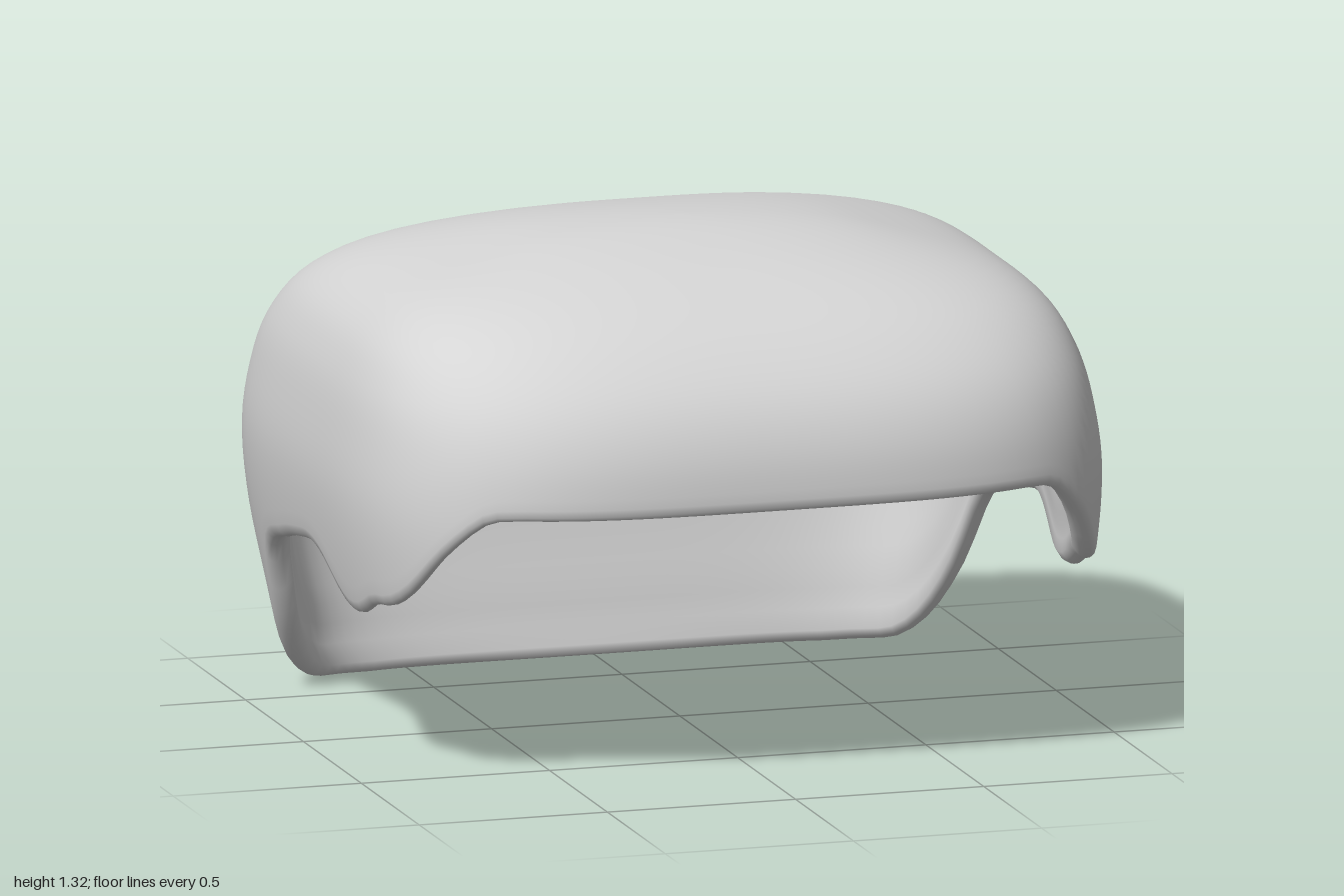
import * as THREE from 'three';

const { smoothstep } = THREE.MathUtils;
const TOP = 1.32, Z0 = 0.05, SEG = 180, RINGS = 40;

// Dome profile rows: height, half width, front z, back z
const PROFILE = [
  [1.32, 0, 0.05, 0.05], [1.30, 0.34, 0.25, -0.2], [1.26, 0.54, 0.42, -0.41],
  [1.19, 0.765, 0.60, -0.61], [1.11, 0.88, 0.73, -0.73], [1.0, 0.945, 0.84, -0.82],
  [0.87, 0.98, 0.90, -0.88], [0.7, 1.0, 0.92, -0.91], [0.5, 0.985, 0.92, -0.90],
  [0.25, 0.94, 0.92, -0.85], [0.08, 0.91, 0.90, -0.795], [0, 0.895, 0.90, -0.765],
];
// Lower edge: z, height
const RIM = [
  [-0.74, 0], [-0.65, 0.03], [-0.52, 0.22], [-0.43, 0.41], [-0.25, 0.48], [-0.1, 0.51],
  [0, 0.52], [0.1, 0.5], [0.27, 0.41], [0.36, 0.41], [0.45, 0.45], [0.54, 0.465],
  [0.63, 0.52], [0.75, 0.66], [0.8, 0.72], [0.84, 0.73],
];

// Smooth interpolation through rows of [key, value], clamped at the ends
function smooth(rows, k) {
  const n = rows.length - 1;
  if (k <= rows[0][0]) return rows[0][1];
  if (k >= rows[n][0]) return rows[n][1];
  let i = 0;
  while (rows[i + 1][0] < k) i++;
  const slope = (j) => {
    const a = rows[Math.max(0, j - 1)], b = rows[Math.min(n, j + 1)];
    return (b[1] - a[1]) / (b[0] - a[0]);
  };
  const [k0, v0] = rows[i], [k1, v1] = rows[i + 1], h = k1 - k0, t = (k - k0) / h;
  const t2 = t * t, t3 = t2 * t;
  return (2 * t3 - 3 * t2 + 1) * v0 + (t3 - 2 * t2 + t) * h * slope(i)
    + (3 * t2 - 2 * t3) * v1 + (t3 - t2) * h * slope(i + 1);
}

// Depth below the crown, spread out so the crown stays round
const depth = (y) => Math.sqrt(Math.max(0, TOP - y));
const column = (c) => PROFILE.map((row) => [depth(row[0]), row[c]]);
const WIDTH = column(1), FRONT = column(2), BACK = column(3);

// Plan radius: a rounded square, softer in front than behind
function radius(angle, y) {
  const q = depth(y), c = Math.abs(Math.cos(angle)), s = Math.sin(angle);
  if (q < 1e-4) return 1e-5;
  const x = smooth(WIDTH, q);
  const z = s > 0 ? smooth(FRONT, q) - Z0 : Z0 - smooth(BACK, q);
  const n = s > 0 ? 2.05 + 1.35 * smoothstep(q, 0.05, 0.45) : 2.2 + 3.2 * smoothstep(q, 0, 0.65);
  return Math.pow(Math.pow(c / x, n) + Math.pow(Math.abs(s) / z, n), -1 / n);
}

// Height at which the dome meets the lower edge
function rimHeight(angle) {
  let lo = -0.02, hi = 1;
  for (let i = 0; i < 30; i++) {
    const y = (lo + hi) / 2;
    const z = Z0 + radius(angle, y) * Math.sin(angle);
    if (y > smooth(RIM, z)) hi = y; else lo = y;
  }
  return Math.max(0, (lo + hi) / 2);
}

// Section from crown down the outside, round the lip and up the inside: [radius, y]
function section(angle) {
  const rim = rimHeight(angle), low = rim + 0.03, wall = [];
  for (let i = 0; i <= RINGS; i++) {
    const t = i / RINGS, y = low + (TOP - low) * (1 - Math.pow(t, 1.8));
    wall.push([radius(angle, y), y, t]);
  }
  const lip = [[0.003, 0.012], [0.012, 0.002], [0.025, 0], [0.042, 0.008]]
    .map(([inset, up]) => [radius(angle, rim + up) - inset, rim + up]);
  // The inside is thin at the lip and thickens towards the crown
  const inside = wall.map(([r, y, t]) => {
    const grow = smoothstep(y - low, 0, 0.2);
    return [r * (0.94 - 0.025 * grow), y - 0.09 * (1 - t * t)];
  }).reverse();
  return [...wall, ...lip, ...inside];
}

function shellGeometry() {
  const positions = [], index = [];
  let count = 0;
  for (let j = 0; j < SEG; j++) {
    const angle = (j / SEG) * Math.PI * 2, points = section(angle);
    count = points.length;
    for (const [r, y] of points) positions.push(r * Math.cos(angle), y, Z0 + r * Math.sin(angle));
  }
  for (let j = 0; j < SEG; j++) {
    const next = (j + 1) % SEG;
    for (let i = 0; i < count - 1; i++) {
      const a = j * count + i, b = next * count + i;
      index.push(a, b, a + 1, b, b + 1, a + 1);
    }
  }
  const geometry = new THREE.BufferGeometry();
  geometry.setAttribute('position', new THREE.Float32BufferAttribute(positions, 3));
  geometry.setIndex(index);
  geometry.computeVertexNormals();
  return geometry;
}

export function createModel() {
  const group = new THREE.Group();
  group.name = 'hairCap';
  const material = new THREE.MeshStandardMaterial({ color: 0xd4d4d4 });
  material.name = 'light grey';
  const shell = new THREE.Mesh(shellGeometry(), material);
  shell.name = 'capShell';
  group.add(shell);
  return group;
}
